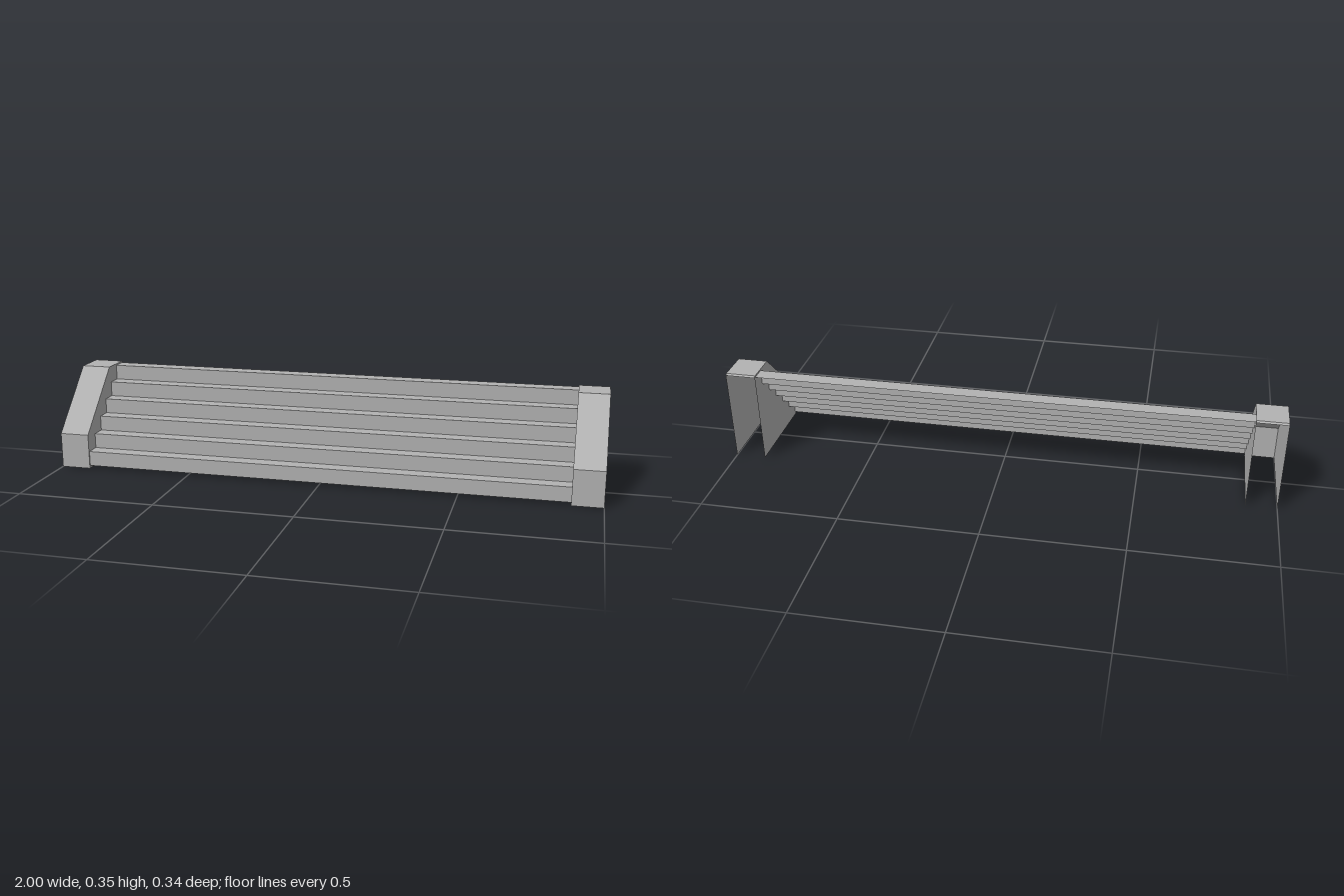
import * as THREE from 'three';

const STEPS = 6, STEP = 0.055;
const INNER = 0.89, OUTER = 1;

// Open sheet swept along x from a (z, y) profile, one flat quad per segment
function sheet(profile, x0, x1, material, name) {
  const pos = [];
  for (let i = 0; i < profile.length - 1; i++) {
    const [pz, py] = profile[i], [qz, qy] = profile[i + 1];
    pos.push(x0, py, pz, x1, py, pz, x1, qy, qz);
    pos.push(x0, py, pz, x1, qy, qz, x0, qy, qz);
  }
  const geo = new THREE.BufferGeometry();
  geo.setAttribute('position', new THREE.Float32BufferAttribute(pos, 3));
  geo.computeVertexNormals();
  const mesh = new THREE.Mesh(geo, material);
  mesh.name = name;
  return mesh;
}

// Flat side panel with a (z, y) outline, facing +x or -x
function panel(outline, x, dir, material, name) {
  const shape = new THREE.Shape(outline.map(([z, y]) => new THREE.Vector2(-dir * z, y)));
  const geo = new THREE.ShapeGeometry(shape);
  geo.rotateY(dir * Math.PI / 2);
  geo.translate(x, 0, 0);
  const mesh = new THREE.Mesh(geo, material);
  mesh.name = name;
  return mesh;
}

export function createModel() {
  const model = new THREE.Group();
  model.name = 'staircase';
  const concrete = new THREE.MeshStandardMaterial({ color: 0xb2b2b2 });
  concrete.name = 'concrete grey';
  concrete.side = THREE.DoubleSide;

  // Risers and treads, open behind and below
  const stairs = [[0.165, 0.01]];
  for (let i = 0; i < STEPS; i++) {
    const y = 0.01 + (i + 1) * STEP;
    stairs.push([0.165 - i * STEP, y], [0.165 - (i + 1) * STEP, y]);
  }
  model.add(sheet(stairs, -INNER, INNER, concrete, 'steps'));

  // Hollow side walls: two panels joined by a front, slope and top cap
  const cap = [[0.17, 0], [0.17, 0.13], [-0.046, 0.346], [-0.164, 0.346], [-0.17, 0.34]];
  const outline = [...cap, [-0.17, 0]];
  for (const side of [1, -1]) {
    const wall = new THREE.Group();
    wall.name = side > 0 ? 'leftWall' : 'rightWall';
    const xs = [side * INNER, side * OUTER].sort((a, b) => a - b);
    wall.add(
      sheet(cap, xs[0], xs[1], concrete, 'wallCap'),
      panel(outline, side * OUTER, side, concrete, 'outerPanel'),
      panel(outline, side * INNER, -side, concrete, 'innerPanel')
    );
    model.add(wall);
  }
  return model;
}
